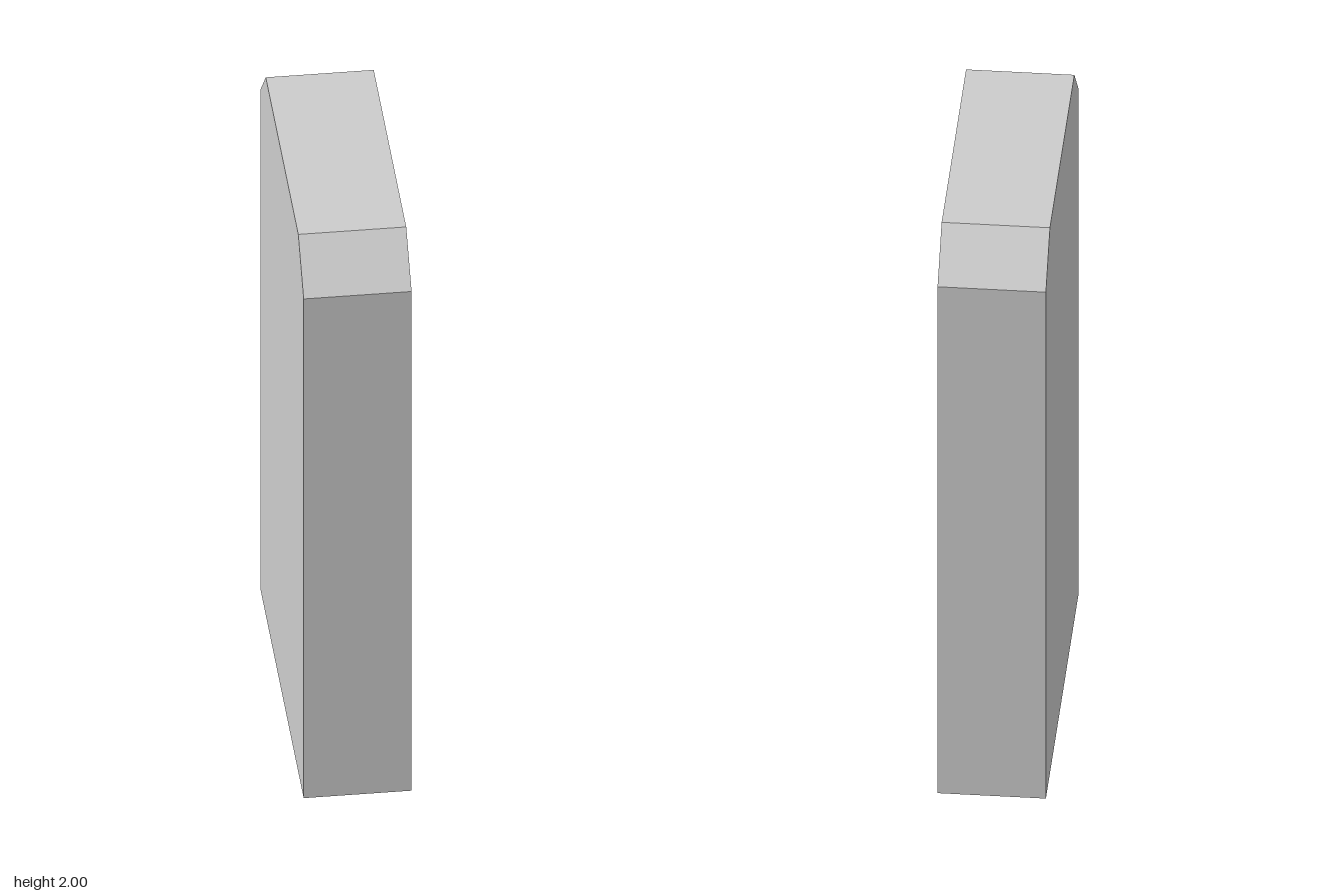
import * as THREE from 'three';

export function createModel() {
  const model = new THREE.Group();
  const grey = new THREE.MeshStandardMaterial({ color: 0xcccccc });
  grey.name = 'plainGrey';

  const polygon = (points) => new THREE.Shape(points.map(([u, y]) => new THREE.Vector2(u, y)));

  // Extrudes a side profile along x, from x0 to x1
  function addSlab(name, shape, x0, x1) {
    const geometry = new THREE.ExtrudeGeometry(shape, { depth: x1 - x0, bevelEnabled: false });
    geometry.rotateY(Math.PI / 2).translate(x0, 0, 0);
    const mesh = new THREE.Mesh(geometry, grey);
    mesh.name = name;
    model.add(mesh);
  }

  const roof = [[0.553, 0], [0.553, 1.857], [0.415, 2], [-0.415, 2], [-0.553, 1.857], [-0.553, 0]];
  const doorway = [[-0.5, 0], [-0.5, 1.78], [0.5, 1.78], [0.5, 0]];

  // Solid back panel and the deep frame around the open bay
  addSlab('backPanel', polygon(roof), -0.165, -0.113);
  addSlab('frame', polygon([...roof, ...doorway]), -0.113, 0.15);

  // Thin face of the frame, with two recessed corner panels
  const face = polygon([...roof, ...doorway]);
  for (const s of [-1, 1]) {
    face.holes.push(polygon([
      [s * 0.13, 1.8], [s * 0.13, 1.98], [s * 0.388, 1.98], [s * 0.513, 1.863], [s * 0.513, 1.8],
    ]));
  }
  addSlab('frameFace', face, 0.15, 0.165);

  // Low shelf between the side walls
  const shelf = new THREE.Mesh(new THREE.BoxGeometry(0.268, 0.027, 1), grey);
  shelf.name = 'shelf';
  shelf.position.set(0.021, 0.326, 0);
  model.add(shelf);

  return model;
}
